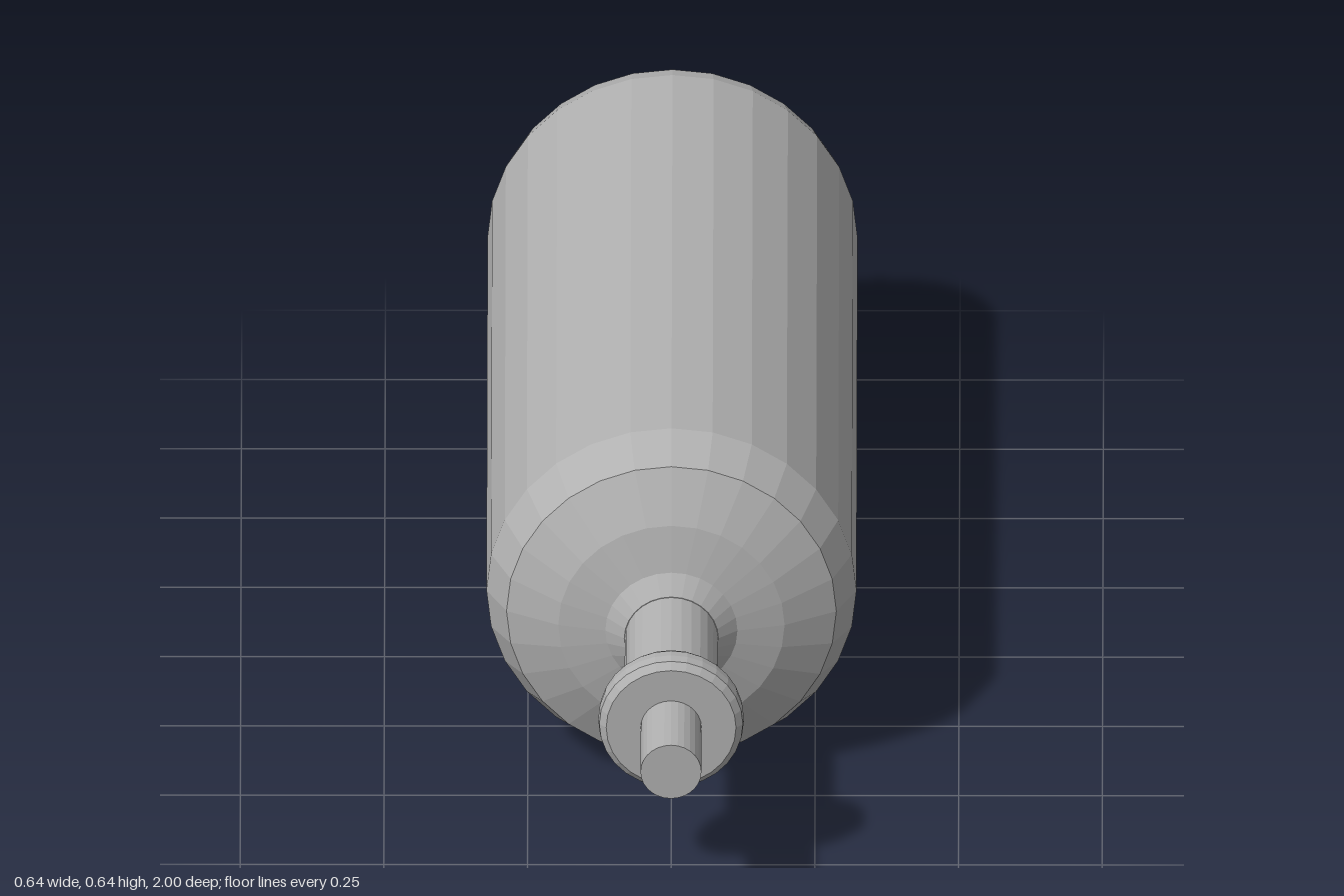
import * as THREE from 'three';

const SIDES = 28;
const RADIUS = 0.322;

// Faceted solid of revolution along z from [z, radius] pairs, back to front
function turned(name, profile, material) {
  const points = profile.map(([z, r]) => new THREE.Vector2(r, z));
  const geometry = new THREE.LatheGeometry(points, SIDES).rotateX(Math.PI / 2).toNonIndexed();
  geometry.computeVertexNormals();
  const mesh = new THREE.Mesh(geometry, material);
  mesh.name = name;
  return mesh;
}

export function createModel() {
  const grey = new THREE.MeshStandardMaterial({ color: 0xb0b0b0 });
  grey.name = 'metal grey';

  const model = new THREE.Group();
  model.name = 'cylinder';
  const axis = new THREE.Group();
  axis.name = 'turnedParts';
  axis.position.y = RADIUS;
  model.add(axis);

  // Main tank with bevelled base and domed shoulder
  axis.add(turned('tank', [
    [-1, 0], [-1, 0.29], [-0.97, 0.311], [-0.93, RADIUS],
    [0.345, RADIUS], [0.42, 0.287], [0.47, 0.197], [0.49, 0.115], [0.518, 0.082], [0.518, 0],
  ], grey));

  // Narrow neck
  axis.add(turned('neck', [[0.51, 0.081], [0.74, 0.081]], grey));

  // Flared collar
  axis.add(turned('collar', [
    [0.735, 0], [0.735, 0.081], [0.77, 0.115], [0.79, 0.125], [0.81, 0.127],
    [0.828, 0.125], [0.84, 0.113], [0.84, 0],
  ], grey));

  // Outlet stem
  axis.add(turned('stem', [[0.835, 0.053], [1, 0.053], [1, 0]], grey));

  return model;
}
